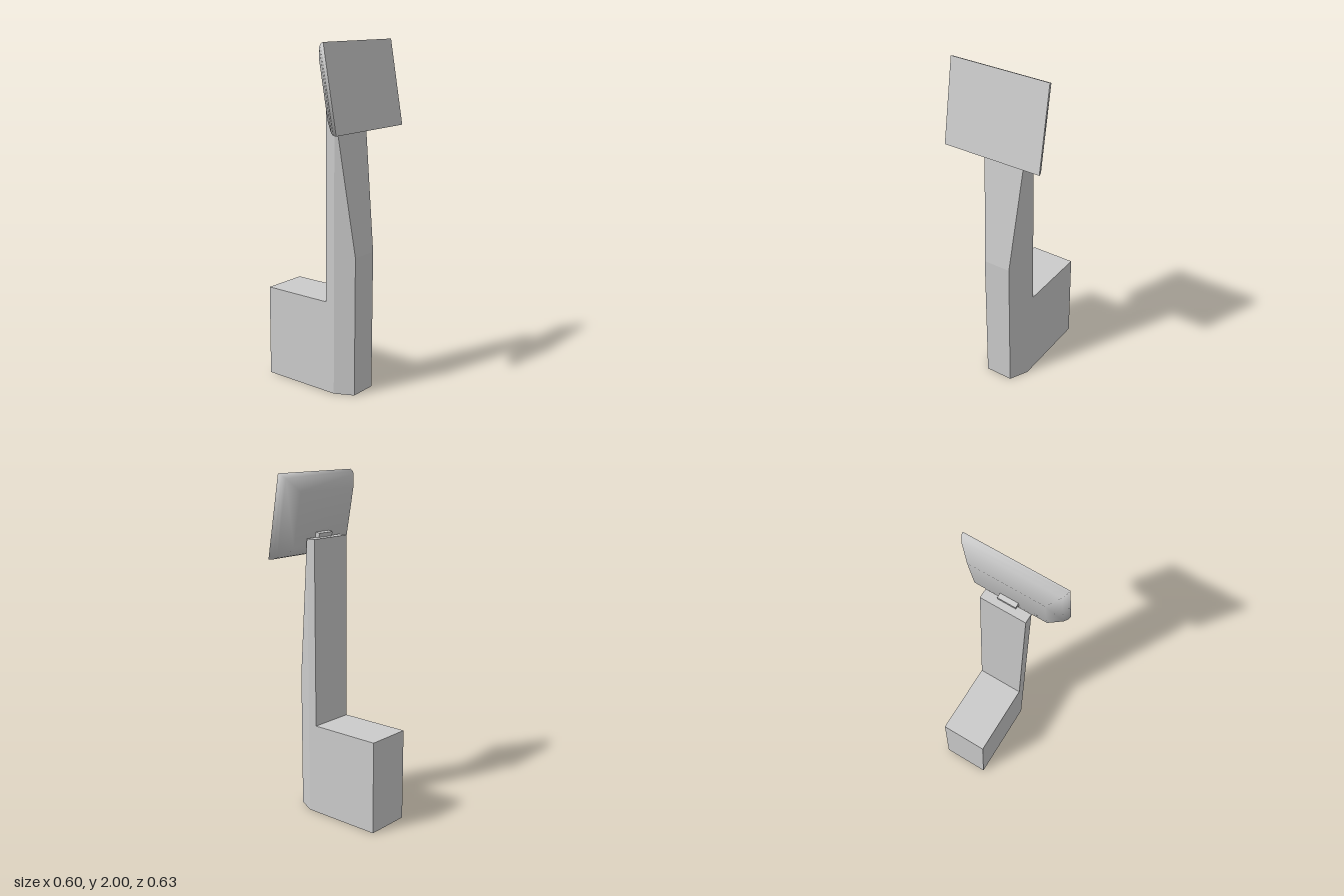
import * as THREE from 'three';

const grey = () => new THREE.MeshStandardMaterial({ color: 0xcccccc, side: THREE.DoubleSide });

// flat-shaded mesh from convex faces listed counter-clockwise
function faceMesh(name, faces) {
  const pos = [];
  for (const f of faces)
    for (let i = 1; i < f.length - 1; i++) pos.push(...f[0], ...f[i], ...f[i + 1]);
  const geo = new THREE.BufferGeometry();
  geo.setAttribute('position', new THREE.Float32BufferAttribute(pos, 3));
  geo.computeVertexNormals();
  const mesh = new THREE.Mesh(geo, grey());
  mesh.name = name;
  return mesh;
}

const mirror = (f) => f.map(([x, y, z]) => [-x, y, z]).reverse();

// face symmetric across x, from a lower/front edge and an upper/back edge
const span = ([x0, y0, z0], [x1, y1, z1]) => [[-x0, y0, z0], [x0, y0, z0], [x1, y1, z1], [-x1, y1, z1]];

// hollow pedestal: chamfered column that tapers at the top, with a box behind; open underneath
function pedestal() {
  const w = 0.137, f = 0.083;                              // half widths: body, front face
  const front = 0.283, cham = 0.175, rear = 0.118, back = -0.315;
  const bend = 0.82, top = 1.637, boxTop = 0.545;
  const sides = [
    [[w, 0, cham], [w, 0, back], [w, boxTop, back], [w, boxTop, cham]],
    [[w, boxTop, cham], [w, boxTop, rear], [w, top, rear], [w, top, cham]],
    [[f, 0, front], [w, 0, cham], [w, bend, cham], [f, bend, front]],
    [[f, bend, front], [w, bend, cham], [w, top, cham]],
  ];
  return faceMesh('pedestal', [
    ...sides, ...sides.map(mirror),
    span([f, 0, front], [f, bend, front]),                 // front
    span([f, bend, front], [w, top, cham]),                // sloped front
    span([w, top, cham], [w, top, rear]),                  // column top
    span([w, top, rear], [w, boxTop, rear]),               // column back
    span([w, boxTop, rear], [w, boxTop, back]),            // box top
    span([w, boxTop, back], [w, 0, back]),                 // box back
  ]);
}

// smooth rear shell of the screen: rectangles that shrink towards the back
function screenShell(W, H) {
  const profile = [[0, 0], [0.002, 0.012], [0.007, 0.026], [0.019, 0.046], [0.08, 0.108]]; // inset, depth
  const pos = [], idx = [];
  for (const [inset, depth] of profile) {
    const x = W / 2 - inset, y = H / 2 - inset;
    pos.push(-x, -y, -depth, x, -y, -depth, x, y, -depth, -x, y, -depth);
  }
  for (let r = 0; r < profile.length - 1; r++)
    for (let i = 0; i < 4; i++) {
      const a = r * 4 + i, b = r * 4 + (i + 1) % 4;
      idx.push(a, a + 4, b, b, a + 4, b + 4);
    }
  const n = (profile.length - 1) * 4;
  idx.push(n, n + 2, n + 1, n, n + 3, n + 2);
  const geo = new THREE.BufferGeometry();
  geo.setAttribute('position', new THREE.Float32BufferAttribute(pos, 3));
  geo.setIndex(idx);
  geo.computeVertexNormals();
  const mesh = new THREE.Mesh(geo, grey());
  mesh.name = 'screenShell';
  return mesh;
}

export function createModel() {
  const model = new THREE.Group();
  model.name = 'kiosk';
  model.add(pedestal());

  // tilted screen, pivoting on its lower front edge
  const W = 0.6, H = 0.483;
  const screen = new THREE.Group();
  screen.name = 'screen';
  screen.position.set(0, 1.525, 0.317);
  screen.rotation.x = -0.181;

  const shell = screenShell(W, H);
  shell.position.y = H / 2;
  const face = new THREE.Mesh(new THREE.PlaneGeometry(W, H), grey());
  face.name = 'screenFace';
  face.position.y = H / 2;

  // small bracket joining the screen to the column top
  const bracket = new THREE.Mesh(new THREE.BoxGeometry(0.11, 0.05, 0.034), grey());
  bracket.name = 'bracket';
  bracket.position.set(0, 0.138, -0.119);

  screen.add(shell, face, bracket);
  model.add(screen);
  return model;
}
